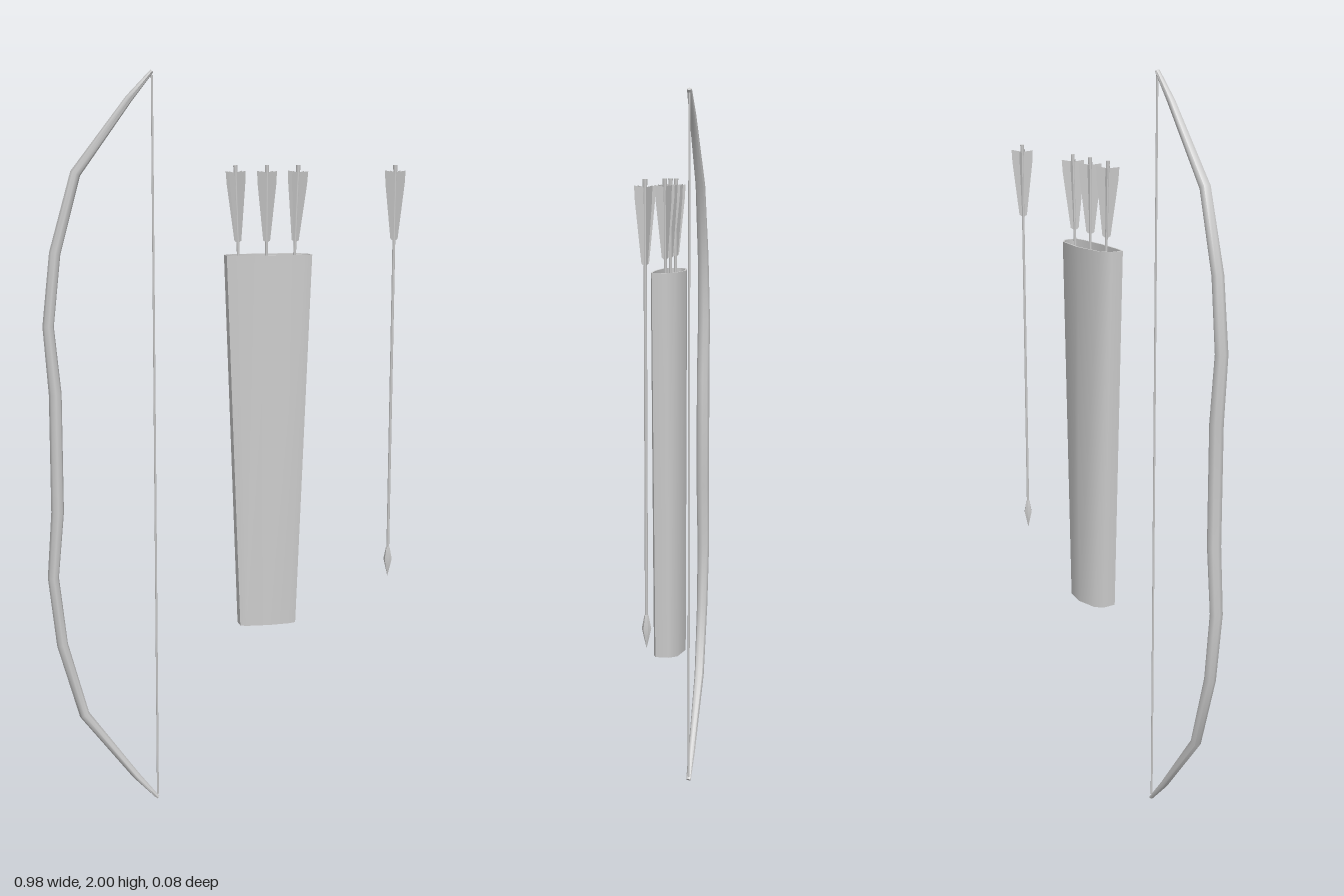
import * as THREE from 'three';
import { toCreasedNormals } from 'three/addons/utils/BufferGeometryUtils.js';

const grey = new THREE.MeshStandardMaterial({ color: 0xcccccc });
const greyThin = new THREE.MeshStandardMaterial({ color: 0xcccccc, side: THREE.DoubleSide });

function part(name, geometry, material = grey) {
  const mesh = new THREE.Mesh(geometry, material);
  mesh.name = name;
  return mesh;
}

// Skin a list of equal-length rings and close both ends.
function loft(rings, crease) {
  const n = rings[0].length, last = (rings.length - 1) * n, index = [];
  for (let i = 0; i < rings.length - 1; i++) {
    for (let j = 0; j < n; j++) {
      const a = i * n + j, b = i * n + (j + 1) % n;
      index.push(a, b, b + n, a, b + n, a + n);
    }
  }
  for (let j = 1; j < n - 1; j++) index.push(0, j + 1, j, last, last + j, last + j + 1);
  const geo = new THREE.BufferGeometry();
  geo.setAttribute('position', new THREE.Float32BufferAttribute(rings.flat(2), 3));
  geo.setIndex(index);
  return toCreasedNormals(geo, crease);
}

// Recurved bow: tapered limbs mirrored about the grip.
function createBow() {
  const bow = new THREE.Group();
  bow.name = 'bow';
  // x, height above the grip, half thickness, half depth
  const upper = [
    [-0.463, 0.0, 0.017, 0.019], [-0.463, 0.16, 0.017, 0.019], [-0.478, 0.34, 0.015, 0.018],
    [-0.457, 0.53, 0.015, 0.016], [-0.4, 0.735, 0.014, 0.014], [-0.258, 0.925, 0.01, 0.01],
    [-0.197, 0.995, 0.005, 0.007],
  ];
  const lower = upper.slice(1).reverse().map(([x, y, a, b]) => [x, -y, a, b]);
  const path = [...lower, ...upper];
  const sides = 8;
  const rings = path.map(([x, y, a, b], i) => {
    const p = path[Math.max(i - 1, 0)], q = path[Math.min(i + 1, path.length - 1)];
    const t = new THREE.Vector2(q[0] - p[0], q[1] - p[1]).normalize();
    return Array.from({ length: sides }, (_, j) => {
      const ang = (j / sides) * Math.PI * 2, c = Math.cos(ang) * a;
      return [x + t.y * c, 1 + y - t.x * c, -Math.sin(ang) * b];
    });
  });
  bow.add(part('bowLimbs', loft(rings, 1.0)));

  const string = part('bowString', new THREE.CylinderGeometry(0.003, 0.003, 1.97, 6));
  string.position.set(-0.197, 1, 0);
  bow.add(string);
  return bow;
}

// Tapered open quiver with a flatter front.
function createQuiver() {
  const section = [
    [0.117, 0.028], [0.117, -0.008], [0.092, -0.029], [0, -0.041], [-0.092, -0.029],
    [-0.117, -0.008], [-0.117, 0.028], [-0.092, 0.035], [0, 0.04], [0.092, 0.035],
  ];
  const ring = (y, sx, sz) => section.map(([x, z]) => [0.112 + x * sx, y, z * sz]);
  return part('quiver', loft([
    ring(0.5, 0.67, 1), ring(1.52, 1, 1), ring(1.52, 0.96, 0.88), ring(0.51, 0.63, 0.88),
  ], 1.0));
}

// Arrow pointing down, with its origin at the nock end.
function createArrow(name) {
  const arrow = new THREE.Group();
  arrow.name = name;
  const shaft = part('shaft', new THREE.CylinderGeometry(0.004, 0.004, 1.07, 6));
  shaft.position.y = -0.535;
  arrow.add(shaft);

  const nock = part('nock', new THREE.CylinderGeometry(0.006, 0.005, 0.03, 6));
  nock.position.y = -0.015;
  arrow.add(nock);

  const headProfile = [[0, -1.145], [0.012, -1.095], [0.005, -1.06], [0, -1.06]]
    .map(([r, y]) => new THREE.Vector2(r, y));
  arrow.add(part('arrowHead', toCreasedNormals(new THREE.LatheGeometry(headProfile, 6), 0.5)));

  // Four crossed vanes
  const vane = new THREE.Shape([[0, -0.02], [0.031, -0.015], [0.029, -0.05], [0.011, -0.198], [0, -0.205]]
    .map(([x, y]) => new THREE.Vector2(x, y)));
  const vaneGeo = new THREE.ShapeGeometry(vane);
  for (let i = 0; i < 4; i++) {
    const fin = part('vane', vaneGeo, greyThin);
    fin.rotation.y = Math.PI / 4 + (i * Math.PI) / 2;
    arrow.add(fin);
  }
  return arrow;
}

export function createModel() {
  const model = new THREE.Group();
  model.name = 'archerySet';
  model.add(createBow(), createQuiver());

  const loose = createArrow('looseArrow');
  loose.position.set(0.466, 1.755, 0);
  model.add(loose);

  // Three arrows fanned inside the quiver
  for (const side of [-1, 0, 1]) {
    const arrow = createArrow('quiverArrow');
    arrow.position.set(0.11 + side * 0.086, 1.755, 0);
    arrow.rotation.z = -side * 0.036;
    model.add(arrow);
  }
  return model;
}
